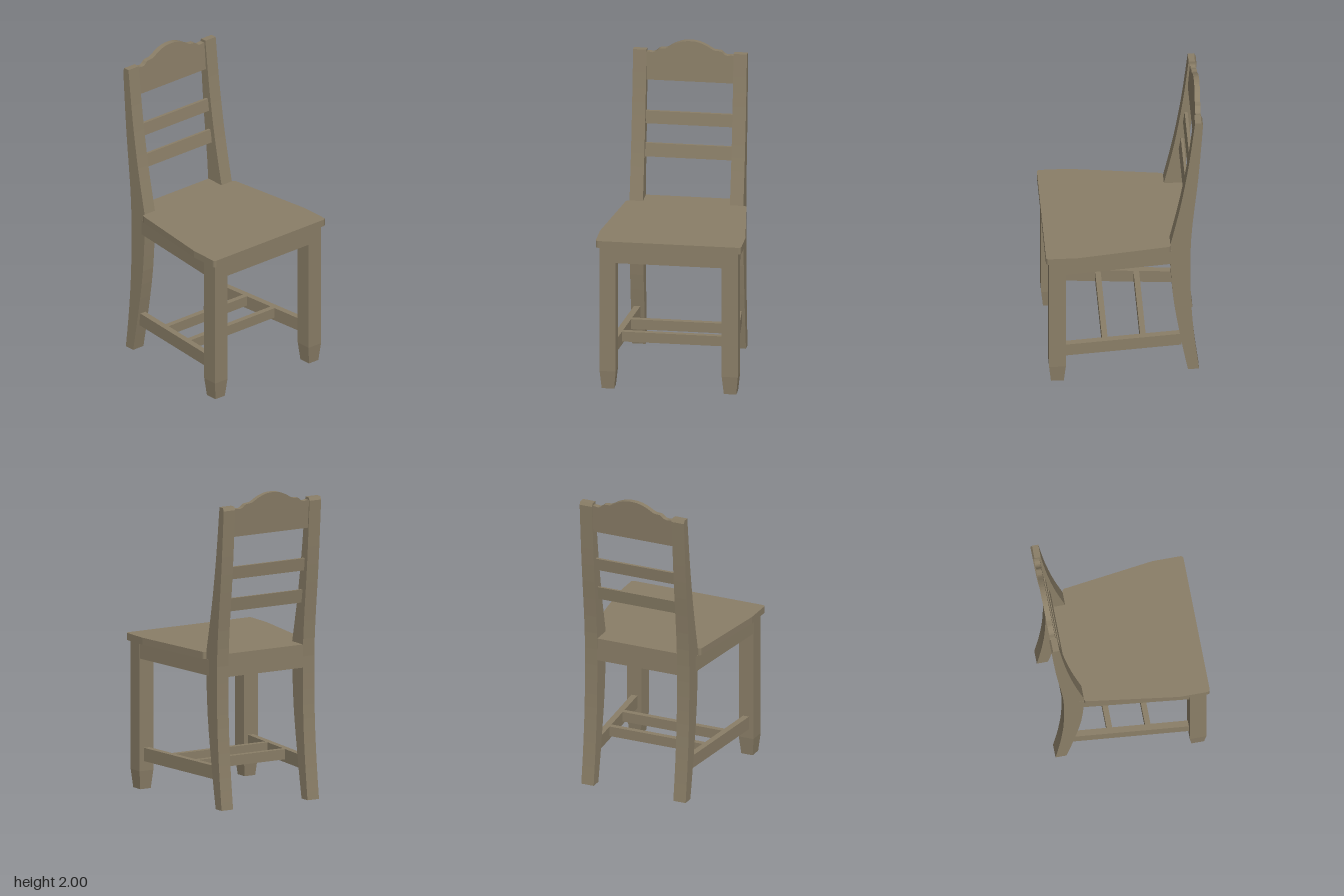
import * as THREE from 'three';

export function createModel() {
  const chair = new THREE.Group();
  chair.name = 'chair';
  const wood = new THREE.MeshStandardMaterial({ color: 0x8a7e67 });
  wood.name = 'greyBrownWood';

  const add = (name, geometry) => {
    const mesh = new THREE.Mesh(geometry, wood);
    mesh.name = name;
    chair.add(mesh);
    return mesh;
  };
  const box = (name, w, h, d, x, y, z) => {
    const mesh = add(name, new THREE.BoxGeometry(w, h, d));
    mesh.position.set(x, y, z);
    return mesh;
  };
  // Upright board running between two floor points [x, z]
  const board = (name, a, b, thick, y0, y1) => {
    const dx = b[0] - a[0], dz = b[1] - a[1];
    const mesh = box(name, thick, y1 - y0, Math.hypot(dx, dz),
      (a[0] + b[0]) / 2, (y0 + y1) / 2, (a[1] + b[1]) / 2);
    mesh.rotation.y = Math.atan2(dx, dz);
    return mesh;
  };
  const spline = (pts, n) =>
    new THREE.SplineCurve(pts.map((p) => new THREE.Vector2(...p))).getPoints(n);
  // Side profile in (z, y), extruded between x0 and x1
  const sideExtrude = (pts, x0, x1) => {
    const g = new THREE.ExtrudeGeometry(new THREE.Shape(pts), { depth: x1 - x0, bevelEnabled: false });
    return g.rotateY(-Math.PI / 2).translate(x1, 0, 0);
  };

  // Seat: tapered panel with rounded corners and a tongue between the posts
  const s = new THREE.Shape();
  s.moveTo(-0.275, -0.415);
  s.lineTo(0.275, -0.415);
  s.lineTo(0.275, -0.29);
  s.lineTo(0.365, -0.29);
  s.quadraticCurveTo(0.38, -0.29, 0.382, -0.27);
  s.lineTo(0.46, 0.3);
  s.lineTo(0.46, 0.475);
  s.quadraticCurveTo(0.46, 0.495, 0.44, 0.495);
  s.lineTo(-0.44, 0.495);
  s.quadraticCurveTo(-0.46, 0.495, -0.46, 0.475);
  s.lineTo(-0.46, 0.3);
  s.lineTo(-0.382, -0.27);
  s.quadraticCurveTo(-0.38, -0.29, -0.365, -0.29);
  s.lineTo(-0.275, -0.29);
  s.closePath();
  add('seat', new THREE.ExtrudeGeometry(s, { depth: 0.045, bevelEnabled: false, curveSegments: 5 })
    .rotateX(Math.PI / 2).translate(0, 0.985, 0));

  // Back post profile: curved front and back edges
  const postFront = spline([[-0.29, 0.985], [-0.353, 1.28], [-0.405, 1.6], [-0.445, 1.935]], 12);
  const legFront = spline([[-0.4, 0], [-0.36, 0.22], [-0.31, 0.55], [-0.29, 0.84]], 10);
  const postBack = spline([[-0.495, 1.915], [-0.465, 1.5], [-0.42, 1.02], [-0.418, 0.6],
    [-0.438, 0.28], [-0.47, 0]], 20);
  const postProfile = [...legFront, ...postFront, new THREE.Vector2(-0.485, 1.935), ...postBack];

  // Front leg: square, tapering at the foot
  const legGeometry = () => {
    const g = new THREE.BoxGeometry(0.102, 0.94, 0.105, 1, 8, 1).toNonIndexed();
    const p = g.attributes.position;
    for (let i = 0; i < p.count; i++) {
      if (p.getY(i) < -0.46) p.setXYZ(i, p.getX(i) * 0.77, p.getY(i), p.getZ(i) * 0.77);
    }
    g.computeVertexNormals();
    return g;
  };

  for (const [side, m] of [['left', 1], ['right', -1]]) {
    add(side + 'BackPost', sideExtrude(postProfile, m > 0 ? 0.275 : -0.36, m > 0 ? 0.36 : -0.275));
    add(side + 'FrontLeg', legGeometry()).position.set(m * 0.386, 0.47, 0.4225);
    board(side + 'SideApron', [m * 0.421, 0.4], [m * 0.344, -0.32], 0.032, 0.837, 0.94);
    board(side + 'SideStretcher', [m * 0.39, 0.42], [m * 0.32, -0.36], 0.04, 0.18, 0.265);
    // Diagonal blocks under the seat corners
    board(side + 'FrontCornerBlock', [m * 0.39, 0.29], [m * 0.25, 0.43], 0.04, 0.87, 0.94);
    board(side + 'BackCornerBlock', [m * 0.335, -0.25], [m * 0.21, -0.37], 0.04, 0.87, 0.94);
  }

  // Front and back aprons, seat brace and cross stretchers
  box('frontApron', 0.69, 0.103, 0.035, 0, 0.8885, 0.457);
  box('backApron', 0.56, 0.103, 0.035, 0, 0.8885, -0.3975);
  box('seatBrace', 0.05, 0.035, 0.82, 0, 0.9225, 0.03);
  box('frontCrossStretcher', 0.71, 0.065, 0.035, 0, 0.2325, 0.12);
  box('rearCrossStretcher', 0.67, 0.065, 0.035, 0, 0.2325, -0.12);

  // Back slats, tilted with the posts
  const slat = (name, y0, y1, z0, z1, thick) => add(name, sideExtrude([[z0, y0], [z1, y1],
    [z1 - thick, y1], [z0 - thick, y0]].map((p) => new THREE.Vector2(...p)), -0.28, 0.28));
  slat('lowerSlat', 1.25, 1.335, -0.383, -0.396, 0.016);
  slat('upperSlat', 1.46, 1.54, -0.41, -0.42, 0.019);

  // Crest rail with a scalloped top, sheared backwards
  const half = [[0, 2], [0.05, 1.995], [0.1, 1.976], [0.145, 1.95], [0.17, 1.945], [0.195, 1.942],
    [0.215, 1.925], [0.235, 1.917], [0.26, 1.92], [0.28, 1.918]];
  const top = spline([...half.slice(1).reverse().map(([x, y]) => [-x, y]), ...half], 48);
  const crest = new THREE.ExtrudeGeometry(
    new THREE.Shape([new THREE.Vector2(0.28, 1.74), ...top.reverse(), new THREE.Vector2(-0.28, 1.74)]),
    { depth: 0.034, bevelEnabled: false });
  const p = crest.attributes.position;
  for (let i = 0; i < p.count; i++) {
    p.setZ(i, p.getZ(i) - 0.474 - (p.getY(i) - 1.74) * 0.078);
  }
  crest.computeVertexNormals();
  add('crestRail', crest);

  return chair;
}
